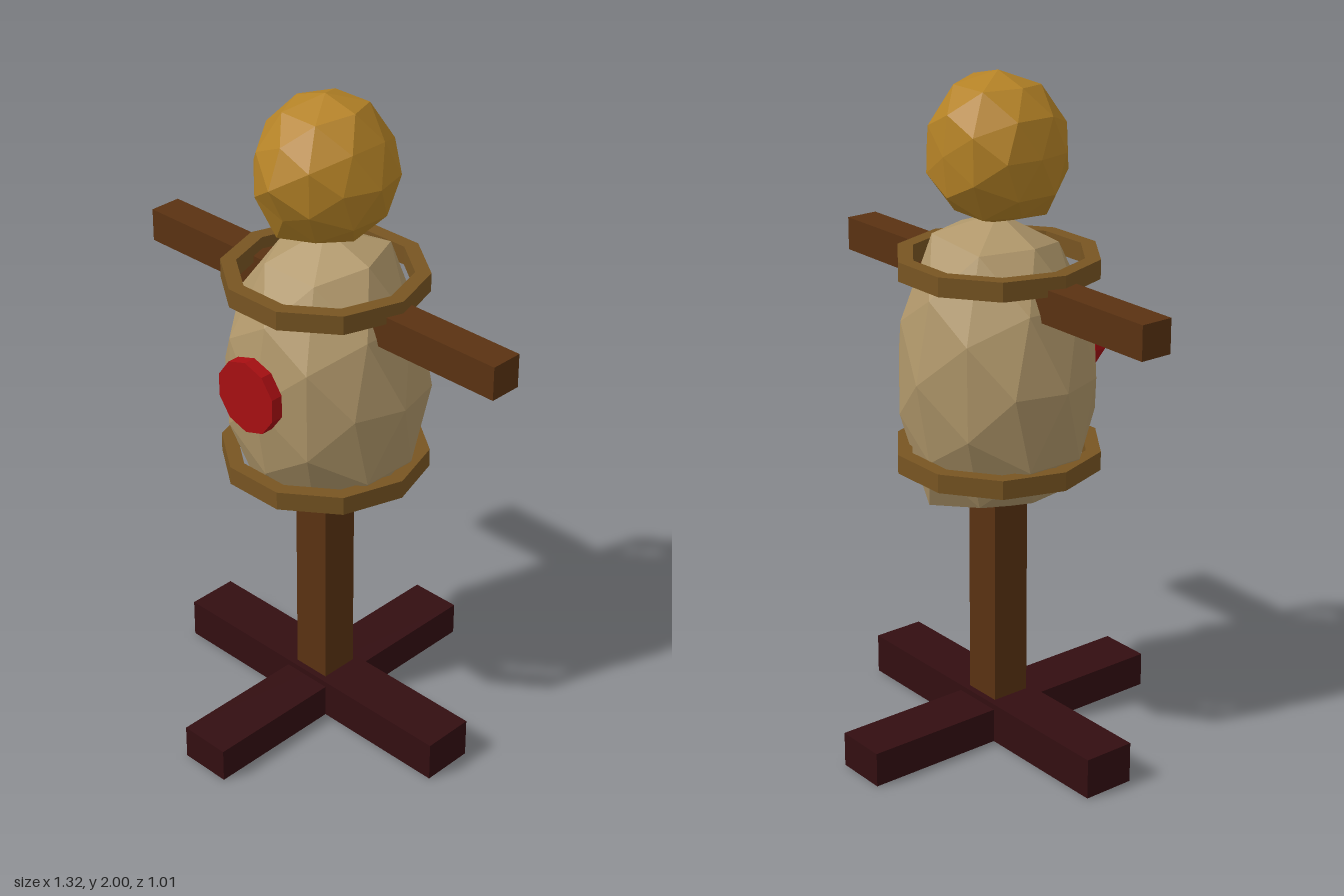
import * as THREE from 'three';

const mat = (name, color) => {
  const m = new THREE.MeshStandardMaterial({ color, flatShading: true });
  m.name = name;
  return m;
};

// Low-poly ball, stretched to radii; dents are [direction, scale] applied to the nearest vertex
function lumpyBall(rx, ry, rz, jitter, dents) {
  const g = new THREE.IcosahedronGeometry(1, 1);
  const p = g.attributes.position, v = new THREE.Vector3();
  for (let i = 0; i < p.count; i++) {
    v.fromBufferAttribute(p, i);
    let s = 1 + jitter * Math.sin(7.3 * v.x + 4.1 * v.y + 9.7 * v.z);
    for (const [d, k] of dents) {
      if (v.distanceTo(d) < 0.1) s = k;
    }
    p.setXYZ(i, v.x * s * rx, v.y * s * ry, v.z * s * rz);
  }
  g.computeVertexNormals();
  return g;
}

// Ten-sided hoop with a rectangular section
function hoop(inner, outer, height) {
  const h = height / 2;
  const section = [[inner, -h], [outer, -h], [outer, h], [inner, h], [inner, -h]];
  return new THREE.LatheGeometry(section.map(([x, y]) => new THREE.Vector2(x, y)), 10, Math.PI / 2);
}

export function createModel() {
  const group = new THREE.Group();
  const burlap = mat('burlap', 0xb0976a);
  const straw = mat('straw', 0xb48226);
  const rope = mat('rope', 0x785522);
  const wood = mat('wood', 0x5a3212);
  const darkWood = mat('dark wood', 0x330e11);
  const red = mat('red', 0xa80f12);

  const add = (name, geometry, material, x, y, z) => {
    const mesh = new THREE.Mesh(geometry, material);
    mesh.name = name;
    mesh.position.set(x, y, z);
    group.add(mesh);
    return mesh;
  };
  const V = (x, y, z) => new THREE.Vector3(x, y, z);

  // Crossed feet, post and arms
  add('footAcross', new THREE.BoxGeometry(1.015, 0.123, 0.16), darkWood, 0, 0.0615, 0);
  add('footLengthwise', new THREE.BoxGeometry(0.16, 0.105, 1.015), darkWood, 0, 0.0525, 0);
  add('post', new THREE.BoxGeometry(0.12, 0.72, 0.12), wood, 0, 0.46, 0);
  add('arms', new THREE.BoxGeometry(1.32, 0.1, 0.1), wood, 0, 1.4, 0);

  // Stuffed sack body
  add('body', lumpyBall(0.31, 0.45, 0.285, 0.025, [
    [V(1, 0, 0), 1.0], [V(-1, 0, 0), 1.0], [V(0, 1, 0), 1.0], [V(0, -1, 0), 0.98],
    [V(0, 0, 1), 0.98], [V(0, 0, -1), 1.02],
    [V(0.309, -0.809, -0.5), 1.17], [V(-0.309, -0.809, 0.5), 1.08],
    [V(0.309, 0.809, -0.5), 1.08],
  ]), burlap, 0, 1.15, 0);

  // Head
  add('head', lumpyBall(0.205, 0.215, 0.205, 0.03, [
    [V(1, 0, 0), 1.02], [V(-1, 0, 0), 0.93], [V(0, 1, 0), 1.0], [V(0, -1, 0), 1.0],
    [V(0, 0, 1), 1.05], [V(0, 0, -1), 0.93],
    [V(-0.309, -0.809, 0.5), 1.13], [V(0, -0.526, 0.851), 0.93],
  ]), straw, 0, 1.785, 0);

  // Rope bands
  add('upperBand', hoop(0.25, 0.295, 0.056), rope, 0, 1.458, 0);
  add('lowerBand', hoop(0.26, 0.304, 0.056), rope, 0, 0.888, 0);

  // Chest target
  add('target', new THREE.CylinderGeometry(0.11, 0.11, 0.037, 10).rotateX(Math.PI / 2), red, 0, 1.195, 0.294);

  return group;
}
